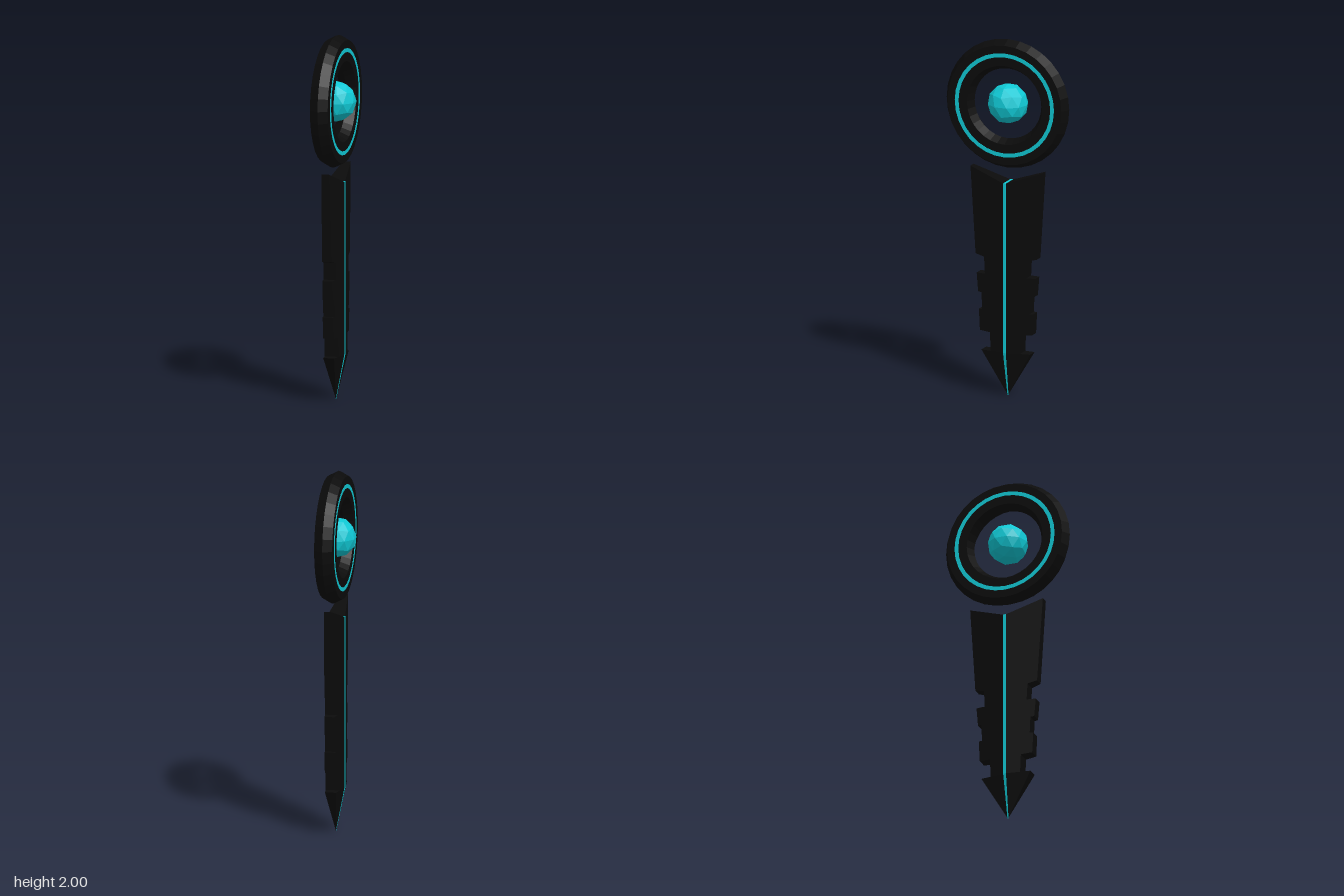
import * as THREE from 'three';

const HALF = 0.05;       // half thickness at the central ridge
const BARB_Y = 0.249;    // height where the tip begins
const RING_Y = 1.639;

// Half outline of the blade as [z, y], from the notch at the top down to the tip
const outline = [
  [0, 1.197], [0.212, 1.272], [0.18, 0.785], [0.127, 0.772], [0.122, 0.677],
  [0.173, 0.677], [0.164, 0.573], [0.143, 0.571], [0.139, 0.476], [0.159, 0.476],
  [0.153, 0.358], [0.09, 0.353], [0.086, BARB_Y], [0.143, BARB_Y], [0, 0],
];

// The blade thins from the ridge to its edges and down to the point
const thickness = (z, y) => Math.max(0, HALF * Math.min(1, y / BARB_Y) - 0.133 * z);

function bladeGeometry() {
  const pos = [];
  const tri = (a, b, c, out) => {
    const n = b.clone().sub(a).cross(c.clone().sub(a));
    const order = n.dot(out) < 0 ? [a, c, b] : [a, b, c];
    order.forEach((p) => pos.push(p.x, p.y, p.z));
  };
  const body = [...outline.slice(0, 13), [0, BARB_Y]].map(([z, y]) => new THREE.Vector2(z, y));
  const tip = [[0, BARB_Y], [0.143, BARB_Y], [0, 0]].map(([z, y]) => new THREE.Vector2(z, y));

  for (const m of [1, -1]) {
    const at = (p, s) => new THREE.Vector3(s * thickness(p.x, p.y), p.y, m * p.x);
    // Sloping broad faces
    for (const s of [1, -1]) {
      const out = new THREE.Vector3(s, 0, 0);
      for (const poly of [body, tip]) {
        for (const [a, b, c] of THREE.ShapeUtils.triangulateShape(poly, [])) {
          tri(at(poly[a], s), at(poly[b], s), at(poly[c], s), out);
        }
      }
    }
    // Narrow rim along the toothed edge
    for (let i = 0; i < outline.length - 1; i++) {
      const a = new THREE.Vector2(...outline[i]);
      const b = new THREE.Vector2(...outline[i + 1]);
      const out = new THREE.Vector3(0, b.x - a.x, m * (a.y - b.y));
      tri(at(a, 1), at(a, -1), at(b, 1), out);
      tri(at(a, -1), at(b, -1), at(b, 1), out);
    }
  }
  const g = new THREE.BufferGeometry();
  g.setAttribute('position', new THREE.Float32BufferAttribute(pos, 3));
  g.computeVertexNormals();
  return g;
}

// Thin slab through the blade that shows as a line on both ridges and in the notch
function inlayGeometry() {
  const w = HALF + 0.001;
  const shape = new THREE.Shape([
    [-w, 1.2], [-w, BARB_Y], [0, 0], [w, BARB_Y], [w, 1.2],
  ].map(([x, y]) => new THREE.Vector2(x, y)));
  const g = new THREE.ExtrudeGeometry(shape, { depth: 0.016, bevelEnabled: false });
  g.translate(0, 0, -0.008);
  const p = g.attributes.position;
  for (let i = 0; i < p.count; i++) {
    if (p.getY(i) < 0.01) p.setZ(i, p.getZ(i) * 0.4);
  }
  g.computeVertexNormals();
  return g;
}

// Ring turned about the x axis from a closed profile of [radius, x]
function ringGeometry(profile) {
  const pts = [...profile, profile[0]].map(([r, x]) => new THREE.Vector2(r, x));
  return new THREE.LatheGeometry(pts, 32).rotateZ(Math.PI / 2).translate(0, RING_Y, 0);
}

export function createModel() {
  const group = new THREE.Group();
  const black = new THREE.MeshStandardMaterial({ color: 0x0b0b0b, flatShading: true });
  const teal = new THREE.MeshStandardMaterial({ color: 0x10c8d4, flatShading: true });
  const add = (name, geometry, material) => {
    const mesh = new THREE.Mesh(geometry, material);
    mesh.name = name;
    group.add(mesh);
  };

  add('blade', bladeGeometry(), black);
  add('bladeInlay', inlayGeometry(), teal);

  // Ring with bevelled inner and outer edges
  add('ring', ringGeometry([
    [0.335, -HALF], [0.361, 0], [0.335, HALF], [0.221, HALF], [0.196, 0], [0.221, -HALF],
  ]), black);
  const e = HALF + 0.001;
  add('ringInlay', ringGeometry([[0.292, -e], [0.292, e], [0.27, e], [0.27, -e]]), teal);

  // Faceted orb floating in the ring, one corner pointing straight up
  const orb = new THREE.IcosahedronGeometry(0.112, 1);
  orb.rotateZ(-Math.atan(2 / (1 + Math.sqrt(5)))).translate(0, RING_Y, 0);
  add('orb', orb, teal);

  return group;
}
